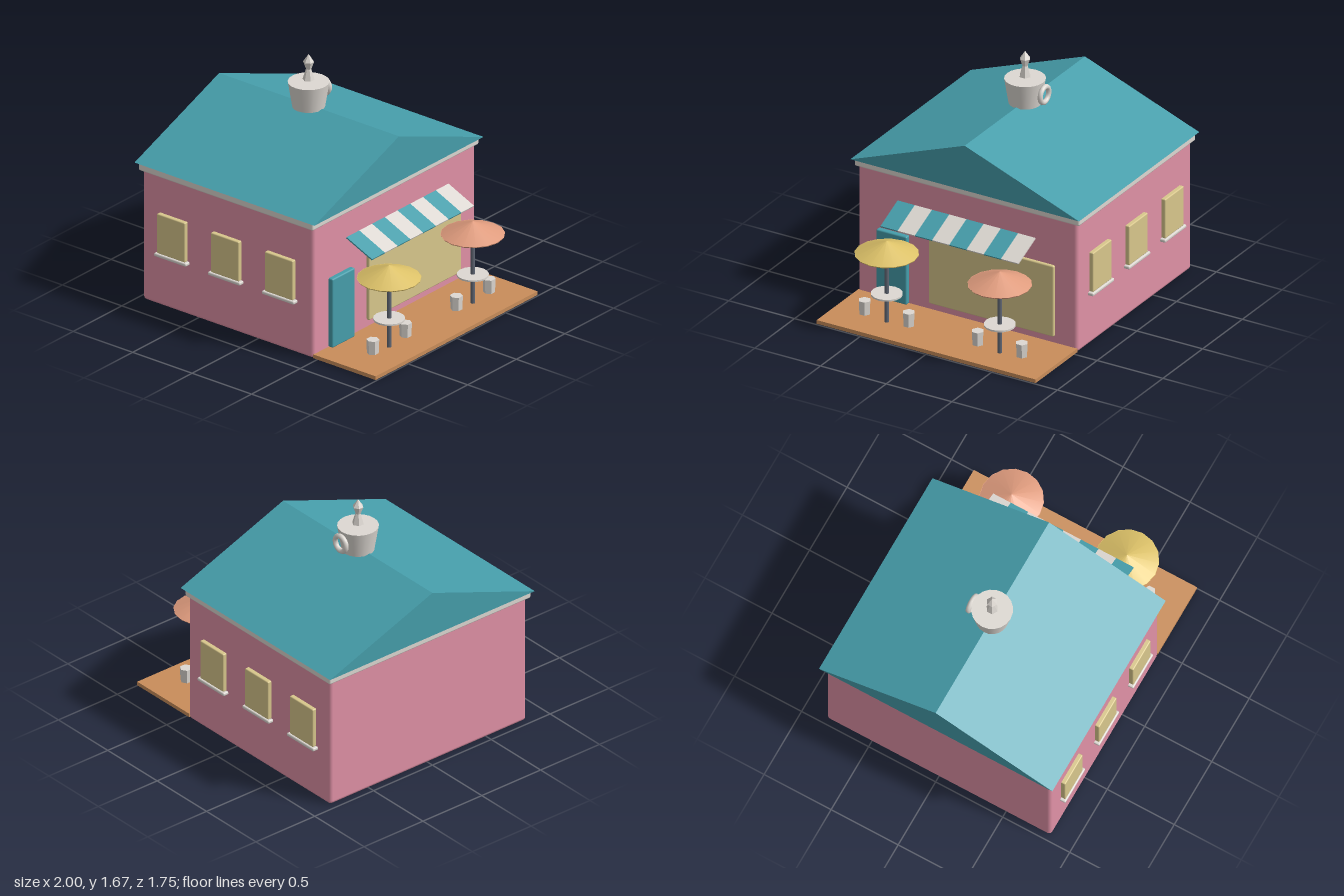
import * as THREE from 'three';
import { RoundedBoxGeometry } from 'three/addons/geometries/RoundedBoxGeometry.js';
import { toCreasedNormals } from 'three/addons/utils/BufferGeometryUtils.js';

const material = (name, color) => {
  const m = new THREE.MeshStandardMaterial({ color });
  m.name = name;
  return m;
};

export function createModel() {
  const pink = material('pink wall', 0xe091a6);
  const teal = material('teal', 0x469eab);
  const white = material('off white', 0xddd8d2);
  const cream = material('cream window', 0xd8c78c);
  const wood = material('patio wood', 0xc98d5a);
  const yellow = material('yellow canopy', 0xdcc168);
  const salmon = material('salmon canopy', 0xe09c7e);
  const slate = material('slate pole', 0x5f6673);

  const cafe = new THREE.Group();
  cafe.name = 'cafe';

  const add = (name, geometry, mat, x, y, z, parent = cafe) => {
    const mesh = new THREE.Mesh(geometry, mat);
    mesh.name = name;
    mesh.position.set(x, y, z);
    parent.add(mesh);
    return mesh;
  };
  // Rounded box given by its limits on each axis
  const block = (name, mat, [x0, x1], [y0, y1], [z0, z1], r, parent = cafe) =>
    add(name, new RoundedBoxGeometry(x1 - x0, y1 - y0, z1 - z0, 2, r), mat,
      (x0 + x1) / 2, (y0 + y1) / 2, (z0 + z1) / 2, parent);

  // Building
  block('walls', pink, [-0.96, 0.475], [0, 0.95], [-0.835, 0.835], 0.025);
  block('cornice', white, [-0.98, 0.487], [0.93, 0.99], [-0.855, 0.855], 0.012);

  // Gabled roof with its ridge along x
  const gable = new THREE.Shape([
    new THREE.Vector2(-0.87, 0.985),
    new THREE.Vector2(0.87, 0.985),
    new THREE.Vector2(0, 1.31),
  ]);
  const roof = new THREE.ExtrudeGeometry(gable, { depth: 1.513, bevelEnabled: false });
  roof.rotateY(Math.PI / 2);
  add('roof', roof, teal, -1, 0, 0);

  // Three windows with sills on the front and back walls
  for (const side of [1, -1]) {
    for (const x of [-0.7, -0.247, 0.207]) {
      const frame = new THREE.Group();
      frame.name = 'sideWindow';
      frame.position.x = x;
      if (side < 0) frame.rotation.y = Math.PI;
      block('windowPane', cream, [-0.118, 0.118], [0.385, 0.67], [0.82, 0.865], 0.008, frame);
      block('windowSill', white, [-0.135, 0.135], [0.362, 0.386], [0.82, 0.875], 0.009, frame);
      cafe.add(frame);
    }
  }

  // Shop front on the +x wall
  block('door', teal, [0.46, 0.51], [0.03, 0.525], [0.445, 0.677], 0.01);
  block('shopWindow', cream, [0.46, 0.496], [0.08, 0.595], [-0.665, 0.285], 0.01);

  // Striped sloping awning
  const awning = new THREE.Group();
  awning.name = 'awning';
  const run = 0.215, drop = 0.095, stripe = 0.131;
  for (let i = 0; i < 8; i++) {
    const slat = add('awningStripe',
      new THREE.BoxGeometry(Math.hypot(run, drop), 0.01, stripe),
      i % 2 ? teal : white, 0.603, 0.718, -0.528 + (i + 0.5) * stripe, awning);
    slat.rotation.z = -Math.atan2(drop, run);
  }
  cafe.add(awning);

  // Patio
  add('patio', new THREE.BoxGeometry(0.525, 0.027, 1.665), wood, 0.735, 0.0185, 0);

  // Tables with umbrella and two stools each
  for (const [z, canopy] of [[0.43, yellow], [-0.43, salmon]]) {
    const set = new THREE.Group();
    set.name = 'tableSet';
    set.position.set(0.782, 0, z);
    add('umbrellaPole', new THREE.CylinderGeometry(0.015, 0.015, 0.53, 10), slate, 0, 0.295, 0, set);
    add('tableTop', new THREE.CylinderGeometry(0.105, 0.105, 0.012, 16), white, 0, 0.236, 0, set);
    add('umbrellaCanopy', new THREE.CylinderGeometry(0.002, 0.212, 0.09, 16), canopy, 0, 0.576, 0, set);
    add('umbrellaRim', new THREE.CylinderGeometry(0.212, 0.208, 0.008, 16), canopy, 0, 0.528, 0, set);
    for (const s of [1, -1]) {
      add('stool', toCreasedNormals(new THREE.CylinderGeometry(0.043, 0.039, 0.097, 6), 0.5),
        white, 0, 0.099, s * 0.168, set);
    }
    cafe.add(set);
  }

  // Rooftop cup with a handle and a steam-shaped finial
  const cup = new THREE.Group();
  cup.name = 'rooftopCup';
  cup.position.set(-0.247, 0, 0);
  add('cupBody', new THREE.CylinderGeometry(0.137, 0.108, 0.178, 20), white, 0, 1.389, 0, cup);
  add('cupHandle', new THREE.TorusGeometry(0.054, 0.018, 8, 18), white, 0, 1.394, -0.148, cup);
  const profile = [[0, 1.488], [0.04, 1.492], [0.018, 1.568], [0.037, 1.62], [0, 1.675]]
    .map(([r, y]) => new THREE.Vector2(r, y));
  add('steamFinial', toCreasedNormals(new THREE.LatheGeometry(profile, 6), 0.5), white, 0, 0, 0, cup);
  cafe.add(cup);

  return cafe;
}
